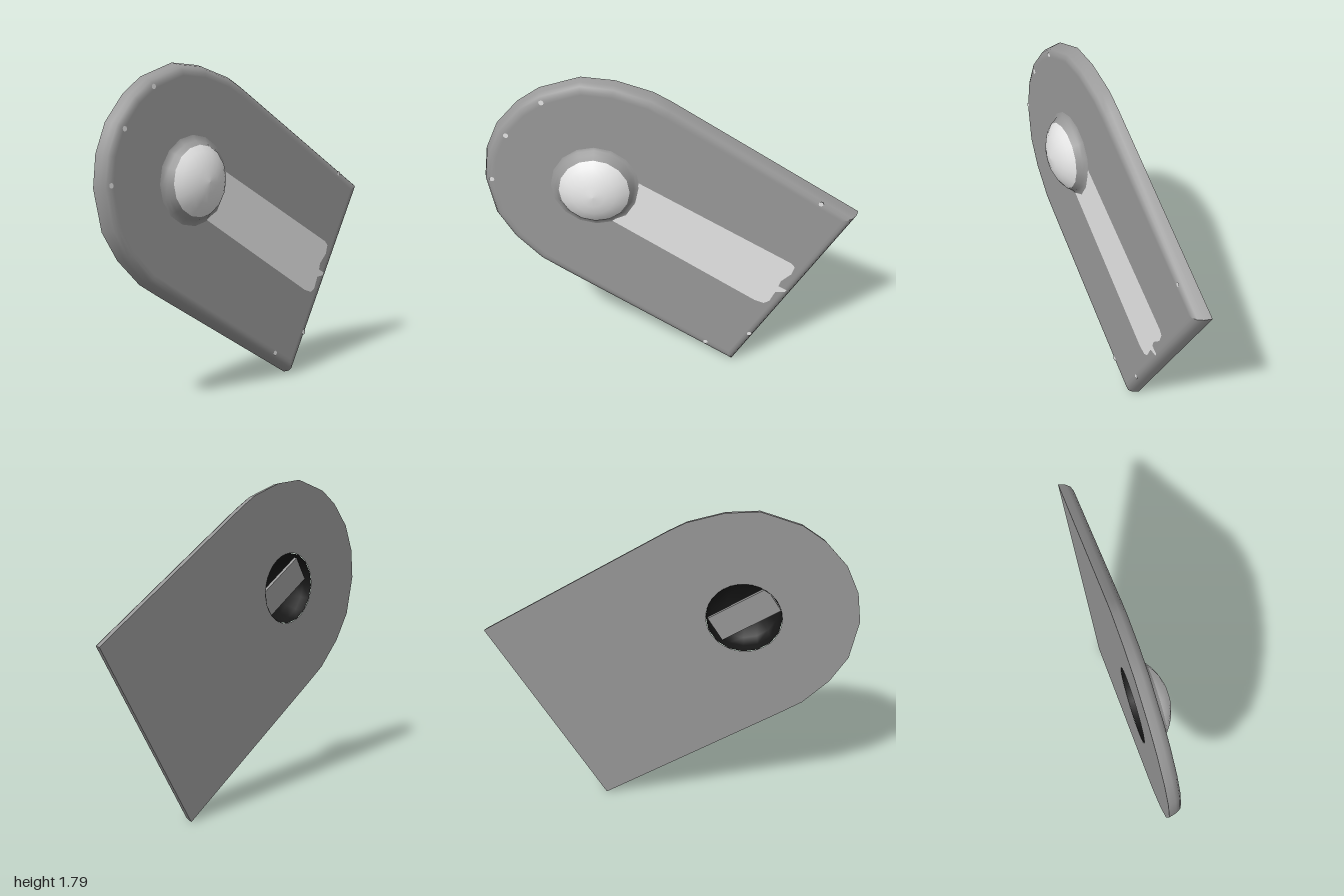
import * as THREE from 'three';

const mat = (name, color, side = THREE.FrontSide) => {
  const m = new THREE.MeshStandardMaterial({ color, side });
  m.name = name;
  return m;
};

// Plate outline in its own plane, counter-clockwise from the upper square corner
const OUTLINE = [
  [0.997, 1.053], [0, 1.674], [-0.096, 1.727], [-0.289, 1.786], [-0.465, 1.8],
  [-0.679, 1.733], [-0.797, 1.652], [-0.914, 1.519], [-0.979, 1.369], [-1, 1.203],
  [-0.957, 0.985], [-0.866, 0.834], [-0.727, 0.69], [-0.594, 0.604], [0.364, 0.005],
].map(([x, y]) => new THREE.Vector2(x, y));

const THICK = 0.075;
const HOLE_R = 0.2;
const CENTRE = new THREE.Vector2(-0.4, 1.195);

// Mitred inward offset of the closed outline
function inset(pts, d) {
  const n = pts.length;
  const normal = (a, b) => new THREE.Vector2(a.y - b.y, b.x - a.x).normalize();
  return pts.map((p, i) => {
    const n1 = normal(pts[(i + n - 1) % n], p);
    const n2 = normal(p, pts[(i + 1) % n]);
    const k = d / (1 + n1.dot(n2));
    return p.clone().addScaledVector(n1.add(n2), k);
  });
}

// Skin between stacked rows of points
function loft(rows) {
  const pos = [], idx = [], w = rows[0].length;
  rows.forEach(r => r.forEach(p => pos.push(p.x, p.y, p.z)));
  for (let k = 0; k < rows.length - 1; k++) {
    for (let i = 0; i < w - 1; i++) {
      const a = k * w + i, c = a + w;
      idx.push(a, a + 1, c, a + 1, c + 1, c);
    }
  }
  const g = new THREE.BufferGeometry();
  g.setAttribute('position', new THREE.Float32BufferAttribute(pos, 3));
  g.setIndex(idx);
  g.computeVertexNormals();
  return g;
}

// Flat cap with the round opening under the dome
function cap(pts) {
  const s = new THREE.Shape(pts);
  s.holes.push(new THREE.Path().absarc(CENTRE.x, CENTRE.y, HOLE_R, 0, Math.PI * 2, true));
  return new THREE.ShapeGeometry(s, 16);
}

export function createModel() {
  const grey = mat('plate grey', 0x999999);
  const white = mat('marking white', 0xf2f2f2);
  const black = mat('recess black', 0x161616, THREE.DoubleSide);

  const model = new THREE.Group();
  const panel = new THREE.Group();
  panel.name = 'panel';
  model.add(panel);
  const add = (name, geometry, material, x = 0, y = 0, z = 0) => {
    const m = new THREE.Mesh(geometry, material);
    m.name = name;
    m.position.set(x, y, z);
    panel.add(m);
    return m;
  };

  // Plate: rounded rim, square end and two flat faces
  const steps = [[0, 0], [0.01, 0.04], [0.024, 0.064], [0.045, THICK], [0.065, THICK]];
  const rows = steps.map(([d, z]) =>
    inset(OUTLINE, d).map(p => new THREE.Vector3(p.x, p.y, z)));
  add('rim', loft(rows), grey);
  add('squareEnd', loft(rows.map(r => [r[r.length - 1], r[0]])), grey);
  add('frontFace', cap(inset(OUTLINE, 0.064)), grey, 0, 0, THICK);
  const back = cap(OUTLINE);
  const index = back.index.array;
  for (let i = 0; i < index.length; i += 3) {
    [index[i], index[i + 1]] = [index[i + 1], index[i]];
  }
  back.attributes.normal.array.forEach((v, i, a) => { a[i] = -v; });
  add('backFace', back, grey);

  // Dome with a plate-coloured collar, turned about the plate normal
  const turned = pts => new THREE.LatheGeometry(
    pts.map(([r, h]) => new THREE.Vector2(r, h)), 16).rotateX(Math.PI / 2);
  add('domeCollar', turned([[0.24, 0.074], [0.222, 0.079], [0.206, 0.095], [0.187, 0.124]]),
    grey, CENTRE.x, CENTRE.y);
  const domeProfile = [[0.187, 0.124], [0.155, 0.148], [0.115, 0.169], [0.06, 0.187], [0, 0.193]];
  add('dome', turned(domeProfile), white, CENTRE.x, CENTRE.y);

  // Hollow behind the dome, crossed by a strap
  add('recess', turned([[HOLE_R, 0], [HOLE_R, 0.06], [0.18, 0.115], [0.1, 0.16], [0, 0.18]]),
    black, CENTRE.x, CENTRE.y);
  add('recessStrap', new THREE.BoxGeometry(0.36, 0.15, 0.02), grey, CENTRE.x, CENTRE.y, 0.05)
    .rotation.z = -0.56;

  // Pale band running from the dome to the square end
  const band = [
    [-0.17, 1.225], [0.66, 0.745], [0.68, 0.72], [0.664, 0.67], [0.61, 0.62], [0.6, 0.585],
    [0.645, 0.56], [0.635, 0.545], [0.585, 0.545], [0.555, 0.48], [0.525, 0.463],
    [0.47, 0.483], [-0.32, 0.984], [-0.24, 1.02], [-0.19, 1.1],
  ].map(([x, y]) => new THREE.Vector2(x, y));
  add('band', new THREE.ShapeGeometry(new THREE.Shape(band)), white, 0, 0, THICK + 0.002);

  // Small dots near the edges
  const dots = [[-0.66, 1.683], [-0.855, 1.485], [-0.95, 1.217],
    [0.79, 1.138], [0.455, 0.235], [0.205, 0.16]];
  for (const [x, y] of dots) {
    add('dot', new THREE.CircleGeometry(0.014, 8), white, x, y, THICK + 0.002);
  }

  // Stand the plate upright, leaning slightly in its own plane
  const b = 0.137, c = -0.0275, k = 1 / Math.hypot(1, b, c);
  panel.matrixAutoUpdate = false;
  panel.matrix.set(
    -b, c, k, -0.024,
    0, 1, -c * k, 0,
    -1, 0, -b * k, 0,
    0, 0, 0, 1);
  return model;
}
